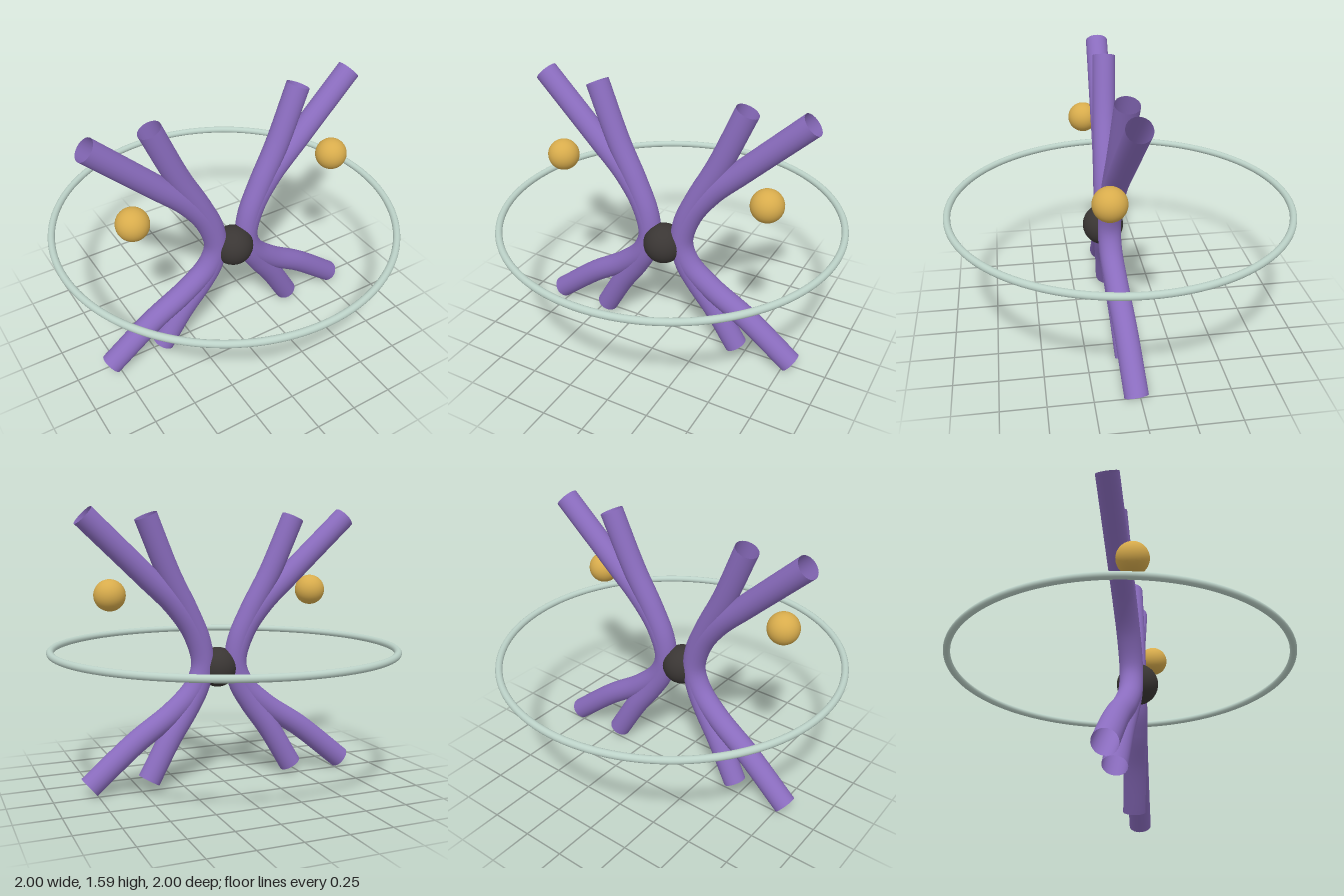
import * as THREE from 'three';

const material = (name, color, side = THREE.FrontSide) => {
  const m = new THREE.MeshStandardMaterial({ color, side });
  m.name = name;
  return m;
};

export function createModel() {
  const group = new THREE.Group();
  const purple = material('purple', 0x8a6cbe, THREE.DoubleSide);
  const gold = material('gold', 0xd8ac4c);
  const charcoal = material('charcoal', 0x3a3634);
  const paleGreen = material('paleGreen', 0xbcd2c8);

  const add = (name, geometry, mat, x = 0, y = 0, z = 0) => {
    const mesh = new THREE.Mesh(geometry, mat);
    mesh.name = name;
    mesh.position.set(x, y, z);
    group.add(mesh);
    return mesh;
  };

  // Strand centre lines on the +x side, from top to bottom
  const outerPath = [
    [0.795, 1.547, 0.03], [0.445, 1.215, 0.05], [0.27, 1.045, 0.06], [0.155, 0.88, 0.07],
    [0.104, 0.70, 0.077], [0.15, 0.57, 0.075], [0.29, 0.435, 0.062], [0.52, 0.28, 0.046], [0.795, 0.055, 0.03],
  ];
  const innerPath = [
    [0.45, 1.547, 0.03], [0.31, 1.22, 0.05], [0.195, 1.0, 0.064], [0.122, 0.83, 0.073],
    [0.104, 0.70, 0.077], [0.133, 0.57, 0.075], [0.2, 0.45, 0.065], [0.315, 0.285, 0.048], [0.45, 0.055, 0.03],
  ];

  // Open tubes, mirrored to both sides
  const strand = (name, path, side) => {
    const points = path.map(([x, y, z]) => new THREE.Vector3(x * side, y, z));
    const curve = new THREE.CatmullRomCurve3(points);
    add(name, new THREE.TubeGeometry(curve, 64, 0.066, 24, false), purple);
  };
  for (const [label, side] of [['left', 1], ['right', -1]]) {
    strand(label + 'OuterStrand', outerPath, side);
    strand(label + 'InnerStrand', innerPath, side);
    add(label + 'Bead', new THREE.SphereGeometry(0.09, 32, 24), gold, side * 0.63, 1.11, 0.143);
  }

  // Dark core where the strands meet
  add('core', new THREE.SphereGeometry(0.117, 32, 24), charcoal, 0, 0.673, 0.1);

  // Level ring around the strands
  const ring = add('ring', new THREE.TorusGeometry(0.98, 0.02, 16, 128), paleGreen, 0, 0.8, 0);
  ring.rotation.x = Math.PI / 2;

  return group;
}
